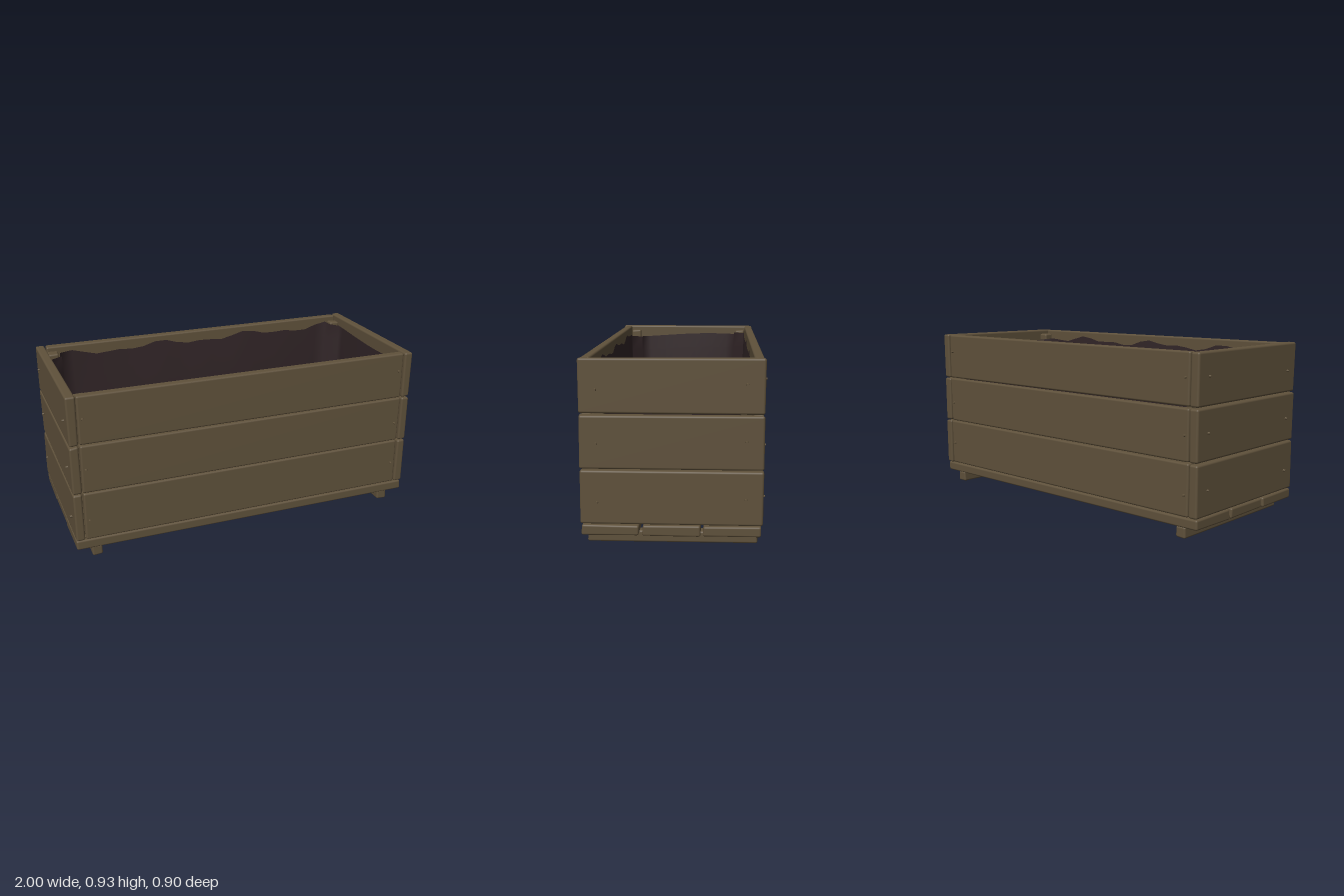
import * as THREE from 'three';
import { RoundedBoxGeometry } from 'three/addons/geometries/RoundedBoxGeometry.js';

export function createModel() {
  const model = new THREE.Group();
  model.name = 'planterBox';
  const wood = new THREE.MeshStandardMaterial({ name: 'weatheredWood', color: 0x5f513b });
  const fabric = new THREE.MeshStandardMaterial({ name: 'darkLiner', color: 0x2f2325, side: THREE.DoubleSide });

  let seed = 7;
  const rand = () => {
    seed = (seed * 16807) % 2147483647;
    return seed / 2147483647;
  };

  // Plank between two corners; each of its eight corners is slightly worn inwards
  function plank(name, x0, x1, y0, y1, z0, z1, radius = 0.01, wear = 0.004) {
    const geo = new RoundedBoxGeometry(x1 - x0, y1 - y0, z1 - z0, 3, radius);
    const pos = geo.attributes.position;
    const shifts = Array.from({ length: 8 }, () => [rand() * wear, rand() * wear, rand() * wear]);
    for (let i = 0; i < pos.count; i++) {
      const p = [pos.getX(i), pos.getY(i), pos.getZ(i)];
      const s = shifts[(p[0] > 0 ? 1 : 0) + (p[1] > 0 ? 2 : 0) + (p[2] > 0 ? 4 : 0)];
      pos.setXYZ(i, ...p.map((v, k) => v - Math.sign(v) * s[k]));
    }
    const mesh = new THREE.Mesh(geo, wood);
    mesh.name = name;
    mesh.position.set((x0 + x1) / 2, (y0 + y1) / 2, (z0 + z1) / 2);
    model.add(mesh);
  }

  // Domed screw head, pointing along x or z
  const screwGeo = new THREE.CylinderGeometry(0.005, 0.007, 0.014, 10);
  function screw(x, y, z, axis) {
    const mesh = new THREE.Mesh(screwGeo, wood);
    mesh.name = 'screw';
    mesh.position.set(x, y, z);
    if (axis === 'x') mesh.rotation.z = -Math.sign(x) * Math.PI / 2;
    else mesh.rotation.x = Math.sign(z) * Math.PI / 2;
    model.add(mesh);
  }

  // Three courses of wall boards with their screws
  [[0.117, 0.389], [0.391, 0.659], [0.662, 0.931]].forEach(([y0, y1], row) => {
    for (const s of [-1, 1]) {
      const x = [0.937 * s, 0.99 * s].sort((a, b) => a - b);
      plank('endBoard', x[0], x[1], y0, y1, -0.444, 0.446, 0.011);
      const z = [0.388 * s, 0.441 * s].sort((a, b) => a - b);
      plank('longBoard', -0.935, 0.935, y0, y1, z[0], z[1]);
      screw(0.993 * s, [0.23, 0.52, 0.78][row], 0.36, 'x');
      screw(0.993 * s, [0.252, 0.535, 0.81][row], -0.357, 'x');
      screw(0.905, [0.248, 0.505, 0.825][row], 0.444 * s, 'z');
      screw(-0.91, [0.23, 0.525, 0.805][row], 0.444 * s, 'z');
    }
  });

  // Bottom slats
  for (const [z0, z1] of [[0.157, 0.441], [-0.14, 0.144], [-0.435, -0.15]]) {
    plank('bottomSlat', -0.99, 0.99, 0.06, 0.116, z0, z1);
  }

  for (const s of [-1, 1]) {
    // Foot rails
    plank('footRail', 0.875 * s - 0.031, 0.875 * s + 0.031, 0, 0.064, -0.42, 0.424);
    // Inner corner posts
    for (const t of [-1, 1]) {
      plank('cornerPost', 0.905 * s - 0.032, 0.905 * s + 0.032, 0.118, 0.905,
        0.357 * t - 0.032, 0.357 * t + 0.032);
    }
  }

  // Outline of the liner: sagging walls, notched round the corner posts
  const outline = [];
  const long = 24, short = 12;
  for (const s of [1, -1]) {
    for (let i = 0; i <= long; i++) {
      const t = 1 - 2 * i / long;
      outline.push({ x: 0.862 * t * s, z: -0.384 * s, sagZ: s * (1 - t * t), sagX: 0 });
    }
    outline.push({ x: -0.862 * s, z: -0.318 * s, sagZ: 0, sagX: 0 });
    for (let i = 0; i <= short; i++) {
      const t = 1 - 2 * i / short;
      outline.push({ x: -0.931 * s, z: -0.318 * t * s, sagZ: 0, sagX: s * (1 - t * t) });
    }
    outline.push({ x: -0.862 * s, z: 0.318 * s, sagZ: 0, sagX: 0 });
  }

  // Liner walls lofted from the floor to the wavy rim
  const n = outline.length, levels = 8, verts = [], faces = [];
  for (let j = 0; j <= levels; j++) {
    const h = j / levels;
    outline.forEach((p, i) => {
      const rim = 0.875 + 0.014 * Math.sin(p.x * 11 + p.z * 5) + 0.01 * Math.sin(p.x * 23 + 1);
      const inset = 1 - 0.025 * (1 - h);
      const sag = 1 - h * h;
      verts.push(p.x * inset + p.sagX * 0.012 * sag, 0.125 + h * (rim - 0.125),
        p.z * (1 - 0.05 * (1 - h)) + p.sagZ * 0.04 * sag);
      if (j < levels) {
        const a = j * n + i, b = j * n + (i + 1) % n;
        faces.push(a, a + n, b, b, a + n, b + n);
      }
    });
  }
  const wallGeo = new THREE.BufferGeometry();
  wallGeo.setAttribute('position', new THREE.Float32BufferAttribute(verts, 3));
  wallGeo.setIndex(faces);
  wallGeo.computeVertexNormals();
  const walls = new THREE.Mesh(wallGeo, fabric);
  walls.name = 'linerWalls';
  model.add(walls);

  // Liner floor follows the lowest ring of the walls
  const floorShape = new THREE.Shape(outline.map((p, i) => new THREE.Vector2(verts[i * 3], -verts[i * 3 + 2])));
  const floor = new THREE.Mesh(new THREE.ShapeGeometry(floorShape).rotateX(-Math.PI / 2), fabric);
  floor.name = 'linerFloor';
  floor.position.y = 0.125;
  model.add(floor);

  return model;
}
